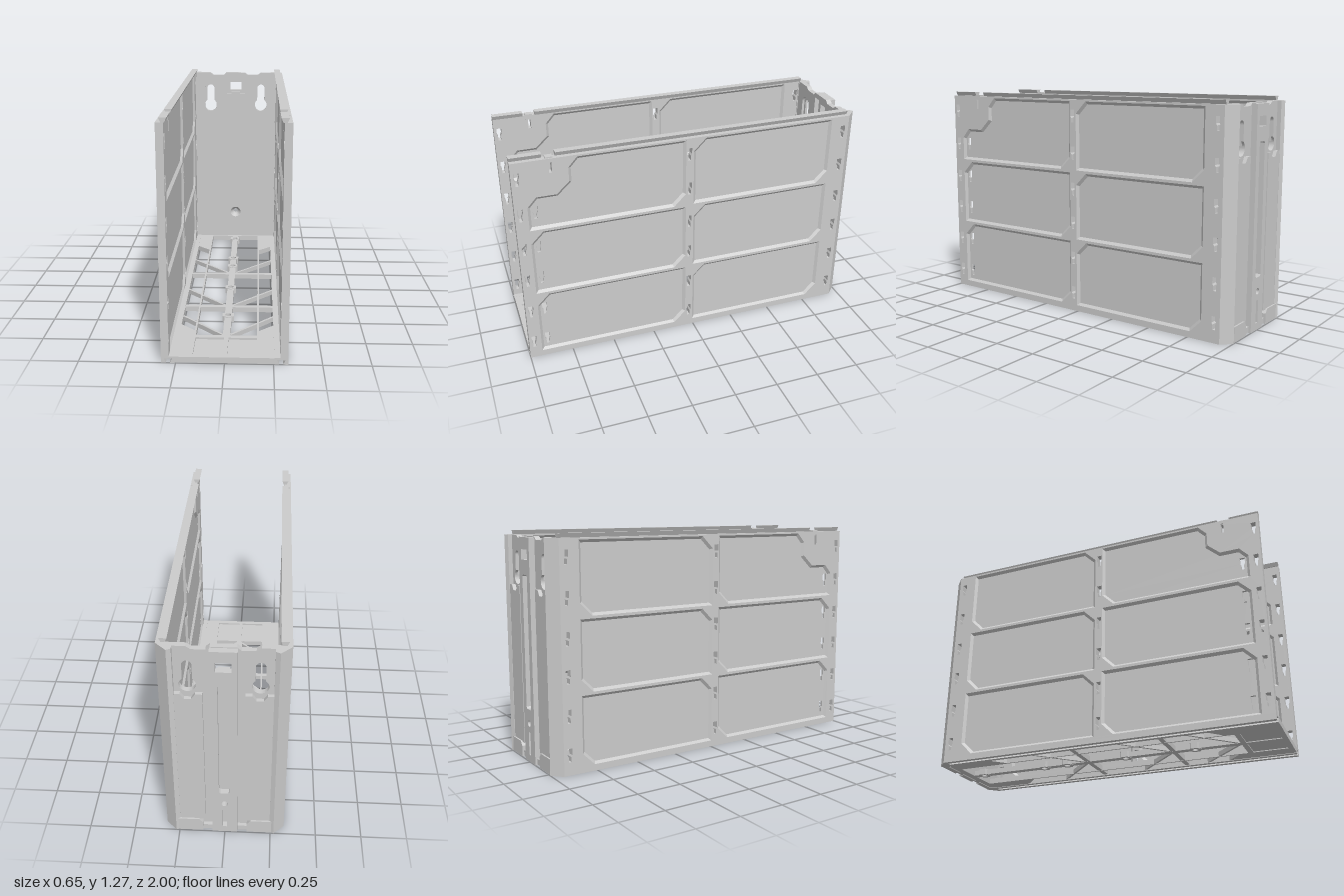
import * as THREE from 'three';

const mat = new THREE.MeshStandardMaterial({ color: 0xcccccc, flatShading: true });
const thinMat = new THREE.MeshStandardMaterial({ color: 0xcccccc, flatShading: true, side: THREE.DoubleSide });

const loop = (pts) => pts.map(([a, b]) => new THREE.Vector2(a, b));
const rect = (a0, b0, a1, b1) => [[a0, b0], [a1, b0], [a1, b1], [a0, b1]];

function extrude(outline, holes, depth) {
  const shape = new THREE.Shape(loop(outline));
  shape.holes = holes.map((h) => (Array.isArray(h) ? new THREE.Path(loop(h)) : h));
  return new THREE.ExtrudeGeometry(shape, { depth, bevelEnabled: false, curveSegments: 14 });
}

// Extrusions placed along x (shape in z,y), y (shape in x,z) and z (shape in x,y)
const alongX = (o, h, x0, x1) => extrude(o, h, x1 - x0).rotateY(-Math.PI / 2).translate(x1, 0, 0);
const alongY = (o, h, y0, y1) => extrude(o, h, y1 - y0).rotateX(Math.PI / 2).translate(0, y1, 0);
const alongZ = (o, h, z0, z1) => extrude(o, h, z1 - z0).translate(0, 0, z0);

// Outline moved inwards by d with mitred corners
function inset(pts, d) {
  const v = loop(pts);
  const s = Math.sign(THREE.ShapeUtils.area(v));
  return v.map((p, i) => {
    const a = p.clone().sub(v[(i + v.length - 1) % v.length]).normalize();
    const b = v[(i + 1) % v.length].clone().sub(p).normalize();
    const n = new THREE.Vector2(-a.y - b.y, a.x + b.x).normalize();
    const k = (s * d) / (n.x * -a.y + n.y * a.x);
    return [p.x + n.x * k, p.y + n.y * k];
  });
}

// Sloped band between a z,y outline at x0 and its inset at x1
function bevelBand(pts, x0, x1, d) {
  const inner = inset(pts, d), pos = [];
  pts.forEach((p, i) => {
    const j = (i + 1) % pts.length;
    const a = [x0, p[1], p[0]], b = [x0, pts[j][1], pts[j][0]];
    const c = [x1, inner[j][1], inner[j][0]], e = [x1, inner[i][1], inner[i][0]];
    pos.push(...a, ...b, ...c, ...a, ...c, ...e);
  });
  const g = new THREE.BufferGeometry();
  g.setAttribute('position', new THREE.Float32BufferAttribute(pos, 3));
  g.computeVertexNormals();
  return g;
}

// Recessed cell with two cut corners
const cell = (zf, zb, y0, y1) => [
  [zf, y0], [zb + 0.07, y0], [zb, y0 + 0.07], [zb, y1], [zf - 0.07, y1], [zf, y1 - 0.07],
];

// Stepped hook slot
const hookSlot = (z, y) => [
  [z - 0.008, y - 0.037], [z + 0.008, y - 0.037], [z + 0.008, y - 0.01], [z + 0.014, y],
  [z + 0.014, y + 0.037], [z - 0.014, y + 0.037], [z - 0.014, y], [z - 0.008, y - 0.01],
];

// Keyhole with a slot of half width w
function keyhole(x, w, top) {
  const p = new THREE.Path(), r = 0.042, a = Math.acos(w / r);
  p.absarc(x, 1.015, r, Math.PI - a, 2 * Math.PI + a, false);
  p.absarc(x, top - w, w, 0, Math.PI, false);
  p.closePath();
  return p;
}

function circle(x, y, r) {
  const p = new THREE.Path();
  p.absarc(x, y, r, 0, Math.PI * 2, false);
  return p;
}

export function createModel() {
  const model = new THREE.Group();
  const add = (parent, name, geometry, material = mat) => {
    const m = new THREE.Mesh(geometry, material);
    m.name = name;
    parent.add(m);
    return m;
  };
  const box = (parent, name, x0, x1, y0, y1, z0, z1) =>
    add(parent, name, new THREE.BoxGeometry(x1 - x0, y1 - y0, z1 - z0)
      .translate((x0 + x1) / 2, (y0 + y1) / 2, (z0 + z1) / 2));

  // Side walls
  const rows = [[0.035, 0.42], [0.435, 0.825], [0.84, 1.235]];
  const slotRows = [0.11, 0.32, 0.53, 0.73, 0.94, 1.15];
  const cells = [];
  rows.forEach(([y0, y1], i) => {
    cells.push(cell(0.005, -0.835, y0, y1));
    if (i < 2) cells.push(cell(0.93, 0.05, y0, y1));
  });
  cells.push([[0.93, 0.84], [0.12, 0.84], [0.05, 0.91], [0.05, 1.235], [0.65, 1.235], [0.7, 1.18],
    [0.7, 1.1], [0.77, 1.035], [0.88, 1.035], [0.93, 0.98]]);
  const wallSlots = [0.97, 0.03, -0.91].flatMap((z) => slotRows.map((y) => hookSlot(z, y)));
  wallSlots.push(rect(0.785, 1.165, 0.8, 1.225));

  for (const s of [1, -1]) {
    const wall = new THREE.Group();
    wall.name = s > 0 ? 'leftWall' : 'rightWall';
    model.add(wall);
    const span = (a, b) => (s > 0 ? [a, b] : [-b, -a]);
    const mx = (pts) => pts.map(([x, y]) => [s * x, y]);
    add(wall, 'wallFrame', alongX(rect(-0.945, 0.03, 1, 1.245), [...cells, ...wallSlots], ...span(0.285, 0.325)));
    for (const c of cells) {
      const front = c[0][0] > 0.5;
      const holes = front
        ? slotRows.filter((y) => y > c[0][1] && y < c[0][1] + 0.36 && y < 1).map((y) => hookSlot(0.89, y)) : [];
      add(wall, 'wallPanel', alongX(c, holes, ...span(0.298, 0.312)));
      add(wall, 'outerBevel', bevelBand(c, s * 0.325, s * 0.312, 0.015), thinMat);
      add(wall, 'innerBevel', bevelBand(c, s * 0.285, s * 0.298, 0.015), thinMat);
    }
    // Dovetail rail on top, matching groove underneath
    const dovetail = mx([[0.28, 1.245], [0.298, 1.245], [0.309, 1.268], [0.269, 1.268]]);
    add(wall, 'topRail', alongZ(dovetail, [], -0.94, 0.76));
    add(wall, 'frontTopRail', alongZ(dovetail, [], 0.83, 1));
    const groove = mx([[0.255, 0], [0.279, 0], [0.268, 0.025], [0.311, 0.025], [0.3, 0], [0.325, 0],
      [0.325, 0.036], [0.255, 0.036]]);
    add(wall, 'bottomGroove', alongZ(groove, [], -0.945, 1));
    // Small clip in the rail gap
    box(wall, 'clip', ...span(0.283, 0.318), 1.22, 1.252, 0.775, 0.815);

    // Chamfered corner post at the back
    add(wall, 'cornerPost', alongY(mx([[0.28, -0.93], [0.325, -0.93], [0.325, -0.945], [0.268, -1],
      [0.245, -0.988], [0.245, -0.945], [0.28, -0.945]]), [], 0, 1.245));
  }

  // Floor with slanted windows
  const floor = new THREE.Group();
  floor.name = 'floor';
  model.add(floor);
  const windows = [1, -1].map((s) => [[0.175, -0.61], [0.26, -0.69], [0.26, 0.61], [0.175, 0.69]].map(([x, z]) => [s * x, z]));
  const pockets = [rect(0.012, 0.775, 0.165, 0.97), rect(-0.165, 0.775, -0.012, 0.97)];
  add(floor, 'floorFrame', alongY([[-0.265, 1], [-0.265, -0.985], [0.265, -0.985], [0.265, 1]],
    [rect(-0.165, -0.92, 0.165, 0.745), ...windows, ...pockets], 0.003, 0.035));
  box(floor, 'frontPlate', -0.17, 0.17, 0.008, 0.024, 0.77, 0.975);
  for (const z of [-0.16, 0.36]) box(floor, 'crossBar', -0.265, 0.265, 0.005, 0.034, z - 0.014, z + 0.014);

  // Spine with hexagonal screw bosses
  const bosses = [-0.86, -0.45, -0.3, 0.07, 0.485];
  const spineEnds = [-0.93, ...bosses, 0.75];
  for (let i = 0; i + 1 < spineEnds.length; i++) {
    const z0 = spineEnds[i] + (i ? 0.025 : 0);
    const z1 = spineEnds[i + 1] - (i < bosses.length ? 0.025 : 0);
    box(floor, 'spine', -0.02, 0.02, 0.004, 0.034, z0, z1);
  }
  for (const z of bosses) {
    const hex = Array.from({ length: 6 }, (_, i) => {
      const a = ((i + 0.5) * Math.PI) / 3;
      return [0.038 * Math.cos(a), z + 0.038 * Math.sin(a)];
    });
    add(floor, 'screwBoss', alongY(hex, [circle(0, z, 0.017)], 0.002, 0.037));
  }

  // Diagonal braces
  for (const s of [1, -1]) for (const z of [-0.17, 0.35, 0.74]) {
    const brace = add(floor, 'brace', new THREE.BoxGeometry(0.365, 0.026, 0.013));
    brace.position.set(s * 0.133, 0.018, z - 0.125);
    brace.rotation.y = s * Math.PI / 4;
  }

  // Back wall in two layers, with stepped keyholes and a latch pocket
  const back = new THREE.Group();
  back.name = 'backWall';
  model.add(back);
  const half = [[0.285, 0.03], [0.285, 1.245], [0.18, 1.245], [0.155, 1.228], [0.085, 1.228], [0.065, 1.245]];
  const backOutline = [...half, ...half.map(([x, y]) => [-x, y]).reverse()];
  const latchPocket = rect(-0.064, 1.097, 0.064, 1.215);
  const latchWindow = rect(-0.04, 1.12, 0.04, 1.175);
  add(back, 'innerPlate', alongZ(backOutline,
    [keyhole(0.178, 0.0415, 1.173), keyhole(-0.178, 0.0415, 1.173), latchPocket, circle(0, 0.22, 0.037)], -0.95, -0.935));
  add(back, 'outerPlate', alongZ(backOutline,
    [keyhole(0.178, 0.025, 1.16), keyhole(-0.178, 0.025, 1.16), latchPocket, circle(0, 0.22, 0.037)], -0.965, -0.95));
  const sink = new THREE.CylinderGeometry(0.037, 0.017, 0.03, 28, 1, true).rotateX(Math.PI / 2).translate(0, 0.22, -0.95);
  add(back, 'countersink', sink, thinMat);

  // Central strip with long recess, latch window and screw hole
  const recess = [[-0.022, 0.3], [0.022, 0.3], [0.03, 0.31], [0.03, 1.03], [0.022, 1.04], [-0.022, 1.04], [-0.03, 1.03], [-0.03, 0.31]];
  add(back, 'centreStrip', alongZ(rect(-0.068, 0, 0.068, 1.24),
    [recess, latchWindow, circle(0, 0.22, 0.018), rect(-0.012, 0.04, 0.012, 0.17)], -0.998, -0.964));
  box(back, 'latchBar', -0.03, 0.03, 1.097, 1.11, -0.965, -0.94);

  // Raised columns below the keyholes, with foot blocks
  for (const s of [1, -1]) {
    const mx = (pts) => pts.map(([x, y]) => [s * x, y]);
    add(back, 'rearColumn', alongZ(mx([[0.105, 0.08], [0.25, 0.08], [0.25, 0.97], [0.215, 0.97],
      [0.195, 0.94], [0.16, 0.94], [0.14, 0.97], [0.105, 0.97]]), [], -0.986, -0.96));
    add(back, 'footBlock', alongZ(mx([[0.12, 0], [0.255, 0], [0.255, 0.085], [0.14, 0.085], [0.12, 0.06]]), [], -0.995, -0.96));
  }
  return model;
}
